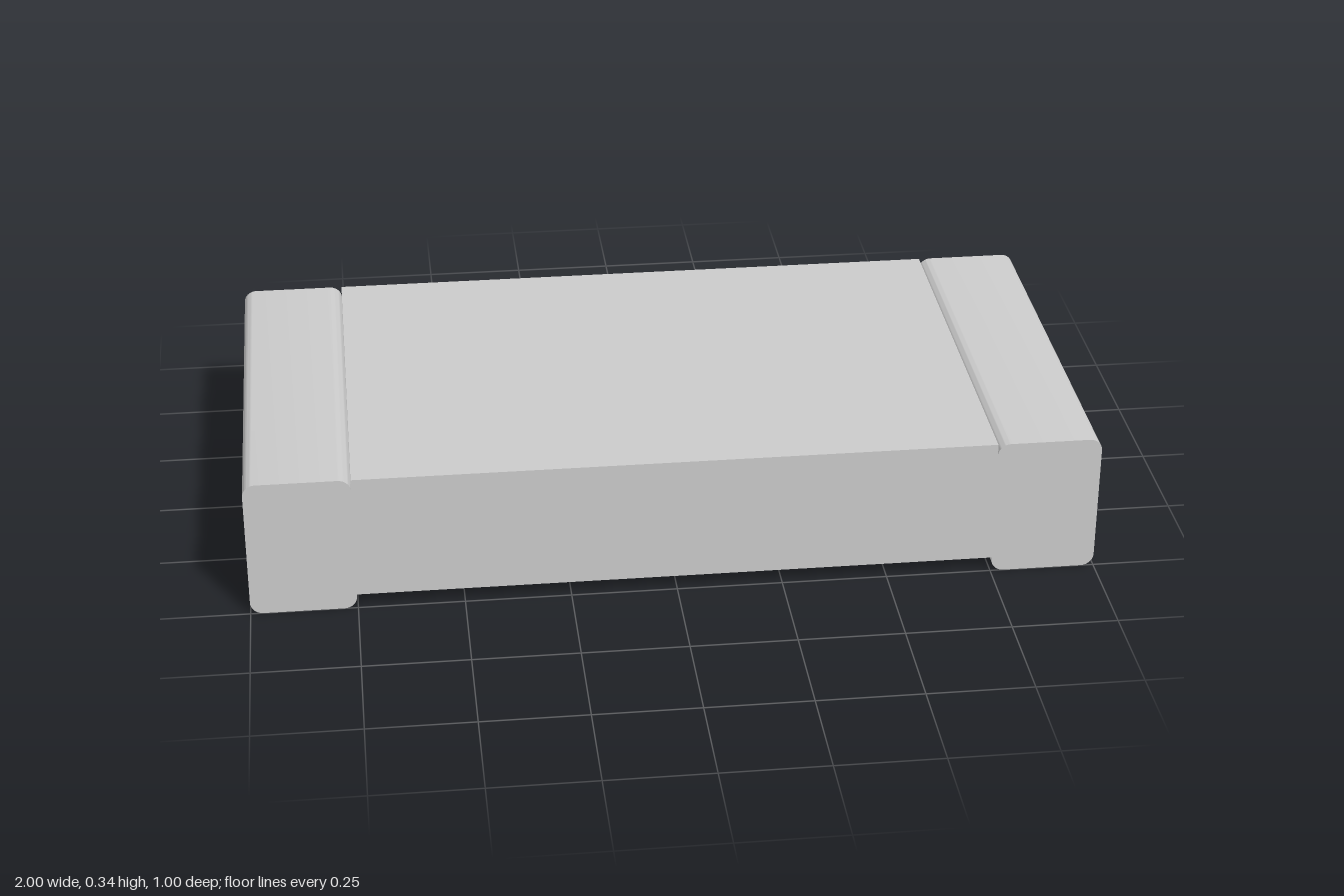
import * as THREE from 'three';
import { toCreasedNormals } from 'three/addons/utils/BufferGeometryUtils.js';

const DEPTH = 1, HEIGHT = 0.343, INNER = 0.752, RADIUS = 0.03, UNDERSIDE = 0.036;

// Rounded rectangle outline in the x-y plane
function roundedRect(x0, y0, x1, y1, r) {
  const s = new THREE.Shape();
  s.absarc(x1 - r, y0 + r, r, -Math.PI / 2, 0);
  s.absarc(x1 - r, y1 - r, r, 0, Math.PI / 2);
  s.absarc(x0 + r, y1 - r, r, Math.PI / 2, Math.PI);
  s.absarc(x0 + r, y0 + r, r, Math.PI, Math.PI * 1.5);
  s.closePath();
  return s;
}

export function createModel() {
  const group = new THREE.Group();
  const material = new THREE.MeshStandardMaterial({ color: 0xcccccc });

  // Flat slab between the end caps, raised off the ground
  const body = new THREE.Mesh(
    new THREE.BoxGeometry(INNER * 2, HEIGHT - UNDERSIDE, DEPTH), material);
  body.position.y = (HEIGHT + UNDERSIDE) / 2;
  body.name = 'body';
  group.add(body);

  // End caps with rounded long edges, forming the top grooves and the feet
  const capGeometry = toCreasedNormals(
    new THREE.ExtrudeGeometry(roundedRect(INNER, 0, 1, HEIGHT, RADIUS),
      { depth: DEPTH, bevelEnabled: false, curveSegments: 8 }).translate(0, 0, -DEPTH / 2),
    Math.PI / 6);
  for (const [name, turn] of [['leftTerminal', 0], ['rightTerminal', Math.PI]]) {
    const cap = new THREE.Mesh(capGeometry, material);
    cap.rotation.y = turn;
    cap.name = name;
    group.add(cap);
  }
  return group;
}
